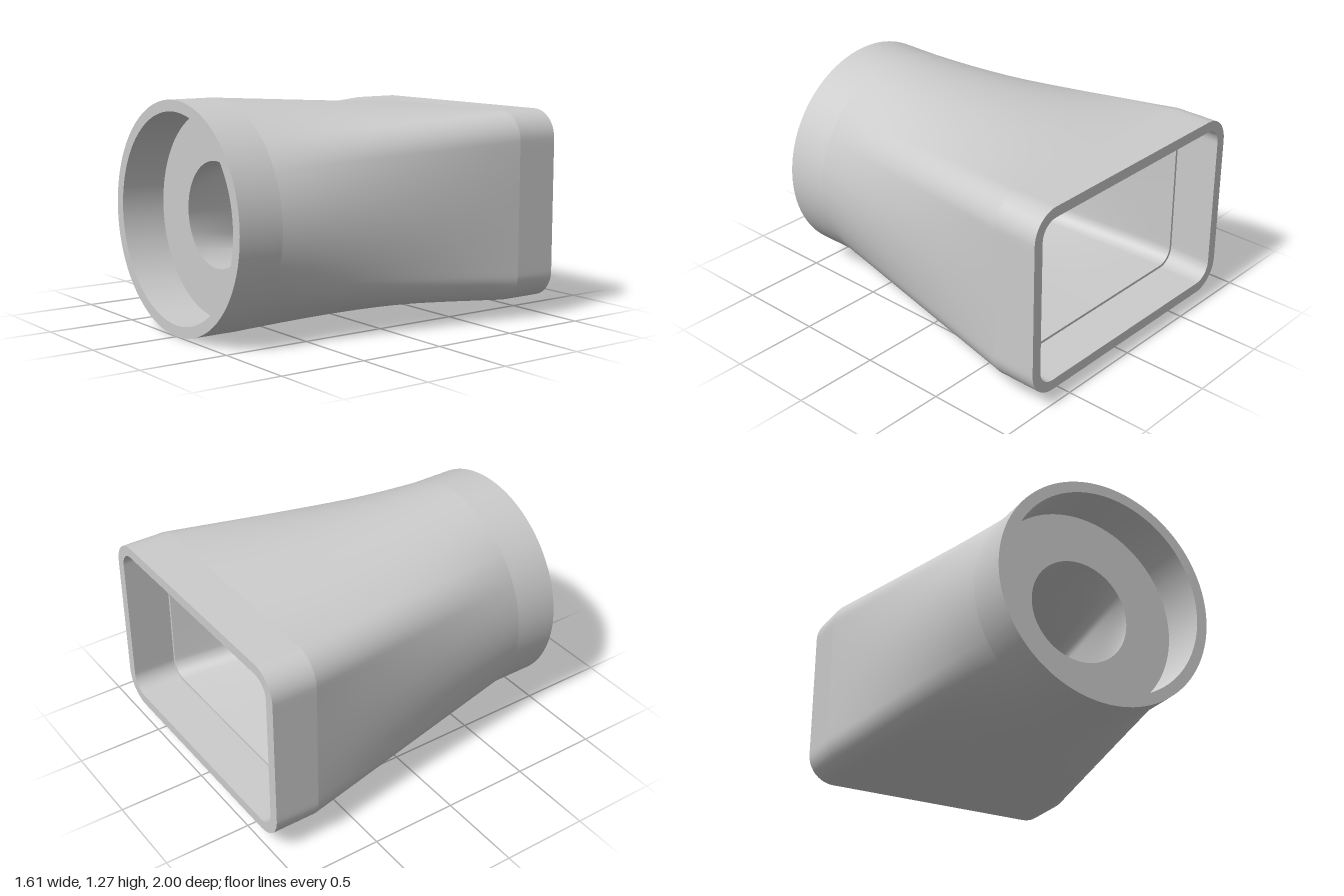
import * as THREE from 'three';

const CENTER_Y = 0.64;
// points along half a side, a rounded corner and half the top, per quarter
const SIDE = 10, CORNER = 10, TOP = 14, QUARTER = SIDE + CORNER + TOP;
const A1 = 0.48, A2 = 0.777; // circle angles matched to the ends of the corner

// one quarter point (first quadrant) of a rounded rectangle
function rectPoint(i, w, h, r) {
  if (i <= SIDE) return [w, (h - r) * i / SIDE];
  if (i <= SIDE + CORNER) {
    const a = (i - SIDE) / CORNER * Math.PI / 2;
    return [w - r + r * Math.cos(a), h - r + r * Math.sin(a)];
  }
  return [(w - r) * (QUARTER - i) / TOP, h];
}

// the matching quarter point of a circle
function circlePoint(i, r) {
  let a;
  if (i <= SIDE) a = A1 * i / SIDE;
  else if (i <= SIDE + CORNER) a = A1 + (A2 - A1) * (i - SIDE) / CORNER;
  else a = A2 + (Math.PI / 2 - A2) * (i - SIDE - CORNER) / TOP;
  return [r * Math.cos(a), r * Math.sin(a)];
}

// mirror a quarter into a closed counter-clockwise ring at depth z
function ring(z, quarterPoint) {
  const pts = [];
  for (let q = 0; q < 4; q++) {
    for (let i = 0; i < QUARTER; i++) {
      const [x, y] = quarterPoint(q % 2 ? QUARTER - i : i);
      const sx = q === 1 || q === 2 ? -1 : 1;
      const sy = q >= 2 ? -1 : 1;
      pts.push(new THREE.Vector3(sx * x, sy * y, z));
    }
  }
  return pts;
}
const rect = (z, w, h, r) => ring(z, i => rectPoint(i, w, h, r));
const circle = (z, r) => ring(z, i => circlePoint(i, r));

// ruled band between two rings, smooth inside and sharp at its ends
function band(a, b, steps) {
  const n = a.length, pos = [], index = [];
  for (let s = 0; s <= steps; s++) {
    for (let i = 0; i < n; i++) pos.push(...a[i].clone().lerp(b[i], s / steps).toArray());
  }
  for (let s = 0; s < steps; s++) {
    for (let i = 0; i < n; i++) {
      const j = (i + 1) % n, p = s * n, q = p + n;
      index.push(p + i, p + j, q + j, p + i, q + j, q + i);
    }
  }
  const g = new THREE.BufferGeometry();
  g.setAttribute('position', new THREE.Float32BufferAttribute(pos, 3));
  g.setIndex(index);
  g.computeVertexNormals();
  return g;
}

export function createModel() {
  const group = new THREE.Group();
  group.name = 'ductAdapter';
  const material = new THREE.MeshStandardMaterial({ color: 0xcccccc });

  // rings in order: along the outside to the front, then back through the inside
  const backOuter = rect(-1, 0.805, 0.54, 0.16);
  const rings = [
    ['rectangularCollar', rect(-0.74, 0.805, 0.54, 0.16), 1],
    ['outerTransition', circle(0.74, 0.637), 8],
    ['roundCollar', circle(1, 0.637), 1],
    ['frontRim', circle(1, 0.575), 1],
    ['roundSocket', circle(0.74, 0.575), 1],
    ['socketFloor', circle(0.74, 0.295), 1],
    ['innerFunnel', rect(-0.74, 0.73, 0.465, 0.09), 8],
    ['innerLedge', rect(-0.74, 0.745, 0.48, 0.1), 1],
    ['rectangularSocket', rect(-1, 0.745, 0.48, 0.1), 1],
    ['backRim', backOuter, 1],
  ];
  let previous = backOuter;
  for (const [name, next, steps] of rings) {
    const mesh = new THREE.Mesh(band(previous, next, steps), material);
    mesh.name = name;
    mesh.position.y = CENTER_Y;
    group.add(mesh);
    previous = next;
  }
  return group;
}
